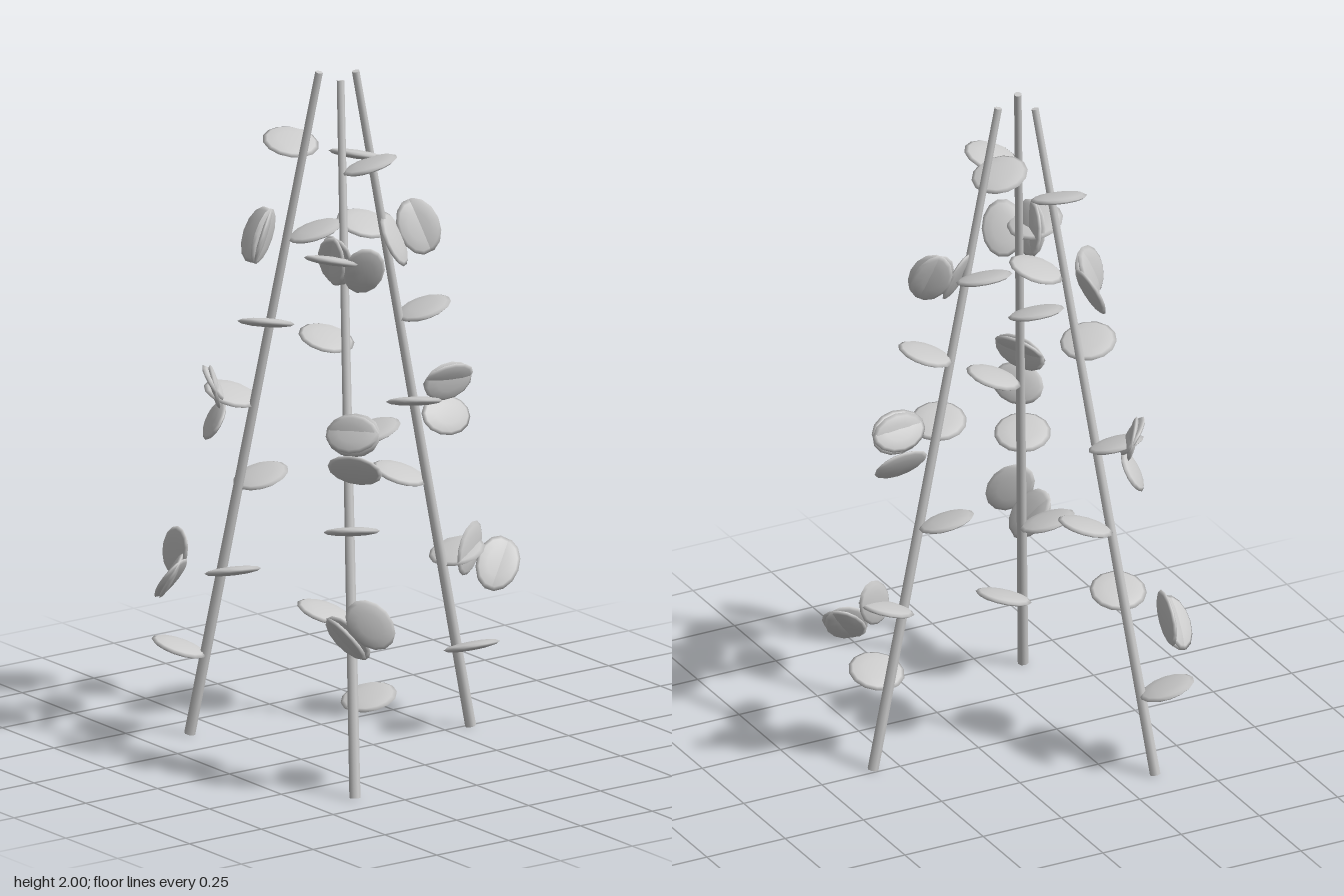
import * as THREE from 'three';

const material = new THREE.MeshStandardMaterial({ color: 0xcccccc });
const AXIS = new THREE.Vector3(-0.13, 0, 0.013); // point the poles lean towards
const deg = THREE.MathUtils.degToRad;

// Distance of a pole's centreline from the axis at a given height
const poleRadius = (y) => 0.46 - 0.2 * y;

function polar(angle, radius, y) {
  return new THREE.Vector3(
    AXIS.x + Math.cos(angle) * radius, y, AXIS.z + Math.sin(angle) * radius);
}

// Thin rounded disc, used for leaves and petals
function discGeometry(a, b, thickness) {
  return new THREE.SphereGeometry(1, 14, 6).scale(a, thickness, b);
}

const leafGeometry = discGeometry(0.081, 0.081, 0.013);
const petalGeometry = discGeometry(0.06, 0.083, 0.012).rotateX(Math.PI / 2); // lies in xy

function makePole(angle) {
  const bottom = polar(angle, poleRadius(0), 0.003);
  const top = polar(angle, poleRadius(2), 1.997);
  const direction = top.clone().sub(bottom);
  const pole = new THREE.Mesh(
    new THREE.CylinderGeometry(0.011, 0.016, direction.length(), 8), material);
  pole.name = 'pole';
  pole.position.copy(bottom).lerp(top, 0.5);
  pole.quaternion.setFromUnitVectors(new THREE.Vector3(0, 1, 0), direction.normalize());
  return pole;
}

// Leaf reaching out of the pole and tilting up at its tip
function makeLeaf(angle, y, azimuth) {
  const leaf = new THREE.Mesh(leafGeometry, material);
  leaf.name = 'leaf';
  leaf.position.copy(polar(angle, poleRadius(y), y));
  leaf.position.x += Math.cos(azimuth) * 0.079;
  leaf.position.z += Math.sin(azimuth) * 0.079;
  leaf.rotation.set(0, -azimuth, 0.31, 'YXZ');
  return leaf;
}

// Petals of a flower: side along its spread, and tilt
const PETALS = [
  { side: -1, tilt: 0.55 },
  { side: 1, tilt: -0.6 },
  { side: 0.85, tilt: -0.2 },
];

// Flower: petals opening like a V, leaning back
function makeFlower(angle, { y, offset, roll, spread, lean }) {
  const flower = new THREE.Group();
  flower.name = 'flower';
  flower.position.copy(polar(angle, poleRadius(y) + offset, y));
  flower.rotation.set(lean, angle, deg(roll), 'YXZ');
  for (const { side, tilt } of PETALS) {
    const petal = new THREE.Mesh(petalGeometry, material);
    petal.name = 'petal';
    petal.position.set(side * spread, 0, 0.015);
    petal.rotation.y = tilt;
    flower.add(petal);
  }
  return flower;
}

const FLOWERS = [
  { y: 0.493, offset: 0.135, roll: -36, spread: 0.052, lean: -0.35 },
  { y: 0.99, offset: 0.105, roll: 86, spread: 0.054, lean: 0 },
  { y: 1.492, offset: 0.065, roll: 14, spread: 0.047, lean: -0.35 },
];

export function createModel() {
  const model = new THREE.Group();
  model.name = 'climbingPlantTripod';
  const firstLeaf = [90, 340, 215]; // direction of each pole's lowest leaf
  for (let p = 0; p < 3; p++) {
    const angle = (p * Math.PI * 2) / 3;
    const stake = new THREE.Group();
    stake.name = 'plantedPole';
    stake.add(makePole(angle));
    // Leaves spiral up the pole
    for (let i = 0; i < 7; i++) {
      stake.add(makeLeaf(angle, 0.265 + 0.25 * i, deg(firstLeaf[p] - 109.5 * i)));
    }
    for (const spec of FLOWERS) stake.add(makeFlower(angle, spec));
    model.add(stake);
  }
  return model;
}
